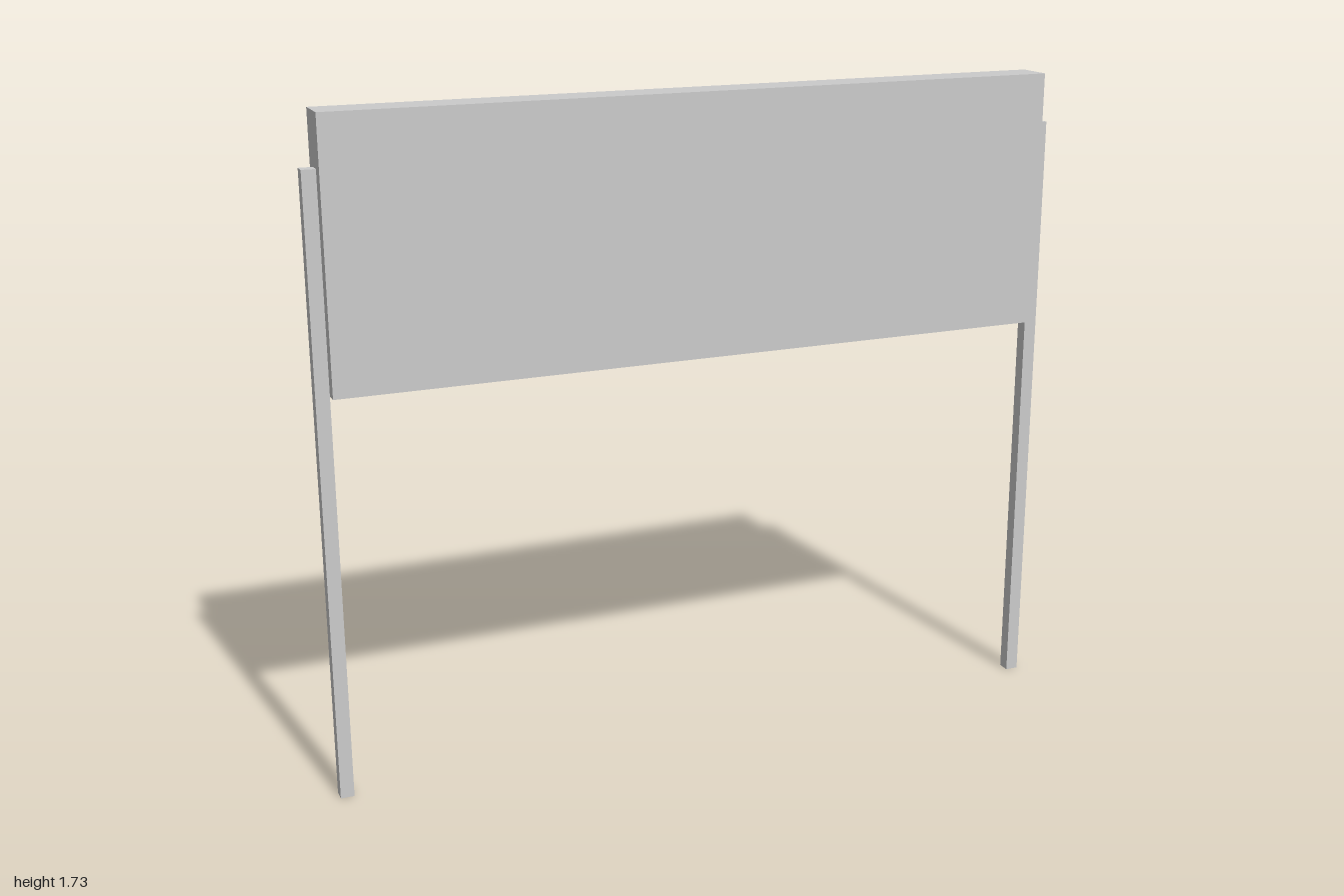
import * as THREE from 'three';

export function createModel() {
  const group = new THREE.Group();
  const material = new THREE.MeshStandardMaterial({ color: 0xcccccc, flatShading: true });

  // Adds a box spanning y0..y1, centred on x and on z = 0
  function addBox(name, width, depth, y0, y1, x = 0) {
    const mesh = new THREE.Mesh(new THREE.BoxGeometry(width, y1 - y0, depth), material);
    mesh.name = name;
    mesh.position.set(x, (y0 + y1) / 2, 0);
    group.add(mesh);
  }

  // Sign board
  const boardHalf = 0.965;
  addBox('signPanel', boardHalf * 2, 0.1, 1.056, 1.73);

  // Posts against the ends of the board
  const postWidth = 1 - boardHalf;
  for (const side of [-1, 1]) {
    addBox(side > 0 ? 'leftPost' : 'rightPost', postWidth, 0.033, 0, 1.597, side * (1 - postWidth / 2));
  }

  return group;
}
